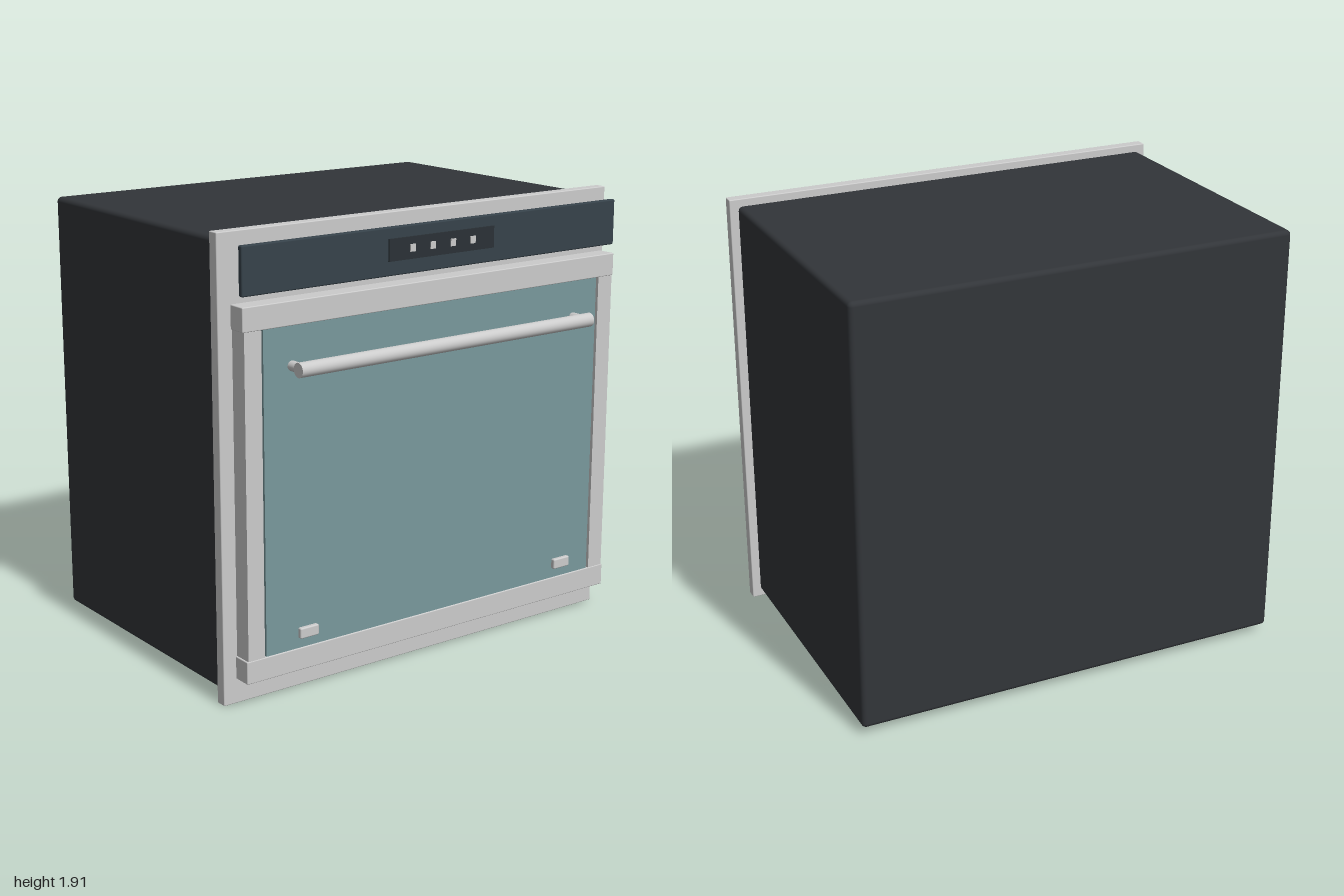
import * as THREE from 'three';
import { RoundedBoxGeometry } from 'three/addons/geometries/RoundedBoxGeometry.js';

const paint = (color) => new THREE.MeshStandardMaterial({ color });

export function createModel() {
  const oven = new THREE.Group();
  oven.name = 'builtInOven';

  const steel = paint(0xcccccc);
  const bodyDark = paint(0x323539);
  const panelDark = paint(0x36424a);
  const displayDark = paint(0x2a3136);
  const glassTeal = paint(0x79989c);

  // Box given by its limits on each axis, with edges rounded by r
  function block(parent, name, material, [x0, x1], [y0, y1], [z0, z1], r = 0) {
    const size = [x1 - x0, y1 - y0, z1 - z0];
    const geometry = r
      ? new RoundedBoxGeometry(...size, 3, r)
      : new THREE.BoxGeometry(...size);
    const mesh = new THREE.Mesh(geometry, material);
    mesh.name = name;
    mesh.position.set((x0 + x1) / 2, (y0 + y1) / 2, (z0 + z1) / 2);
    parent.add(mesh);
    return mesh;
  }

  // Round bar centred on a point, along x or z
  function rod(parent, name, axis, radius, length, x, y, z, sides = 24) {
    const geometry = new THREE.CylinderGeometry(radius, radius, length, sides);
    if (axis === 'x') geometry.rotateZ(Math.PI / 2);
    else geometry.rotateX(Math.PI / 2);
    const mesh = new THREE.Mesh(geometry, steel);
    mesh.name = name;
    mesh.position.set(x, y, z);
    parent.add(mesh);
  }

  // Housing and the face plate in front of it
  block(oven, 'housing', bodyDark, [-0.965, 0.965], [0.035, 1.88], [-0.77, 0.51], 0.02);
  block(oven, 'facePlate', steel, [-1, 1], [0, 1.91], [0.505, 0.555], 0.004);

  // Control panel with display and four buttons
  const controls = new THREE.Group();
  controls.name = 'controlPanel';
  block(controls, 'panel', panelDark, [-0.958, 0.958], [1.675, 1.87], [0.637, 0.662], 0.006);
  block(controls, 'display', displayDark, [-0.27, 0.27], [1.735, 1.825], [0.655, 0.67]);
  for (const x of [-0.155, -0.052, 0.052, 0.155]) {
    block(controls, 'button', steel, [x - 0.013, x + 0.013], [1.765, 1.795], [0.665, 0.675]);
  }
  oven.add(controls);

  // Door: rails, stiles and glass
  const door = new THREE.Group();
  door.name = 'door';
  block(door, 'topRail', steel, [-0.96, 0.96], [1.54, 1.637], [0.582, 0.665], 0.004);
  block(door, 'bottomRail', steel, [-0.96, 0.96], [0.12, 0.215], [0.582, 0.665], 0.004);
  block(door, 'glass', glassTeal, [-0.865, 0.865], [0.215, 1.54], [0.625, 0.66]);
  for (const side of [-1, 1]) {
    const inner = side * 0.875, outer = side * 0.953;
    block(door, 'stile', steel, [Math.min(inner, outer), Math.max(inner, outer)],
      [0.215, 1.54], [0.582, 0.664]);
    // Small tabs near the lower corners of the glass
    const x = side * 0.68;
    block(door, 'tab', steel, [x - 0.045, x + 0.045], [0.267, 0.312], [0.676, 0.698], 0.006);
  }
  oven.add(door);

  // Handle: long bar on two posts
  const handle = new THREE.Group();
  handle.name = 'handle';
  rod(handle, 'handleBar', 'x', 0.03, 1.515, 0, 1.382, 0.738, 32);
  for (const side of [-1, 1]) rod(handle, 'handlePost', 'z', 0.021, 0.078, side * 0.732, 1.382, 0.699);
  oven.add(handle);

  // Wire racks whose front edges show behind the door
  for (const y of [0.54, 0.88, 1.18]) {
    const rack = new THREE.Group();
    rack.name = 'rack';
    rod(rack, 'rackFront', 'x', 0.008, 1.48, 0, y, 0.57, 10);
    for (let i = -3; i <= 3; i++) rod(rack, 'rackWire', 'z', 0.005, 0.06, i * 0.205, y, 0.545, 8);
    oven.add(rack);
  }

  return oven;
}
